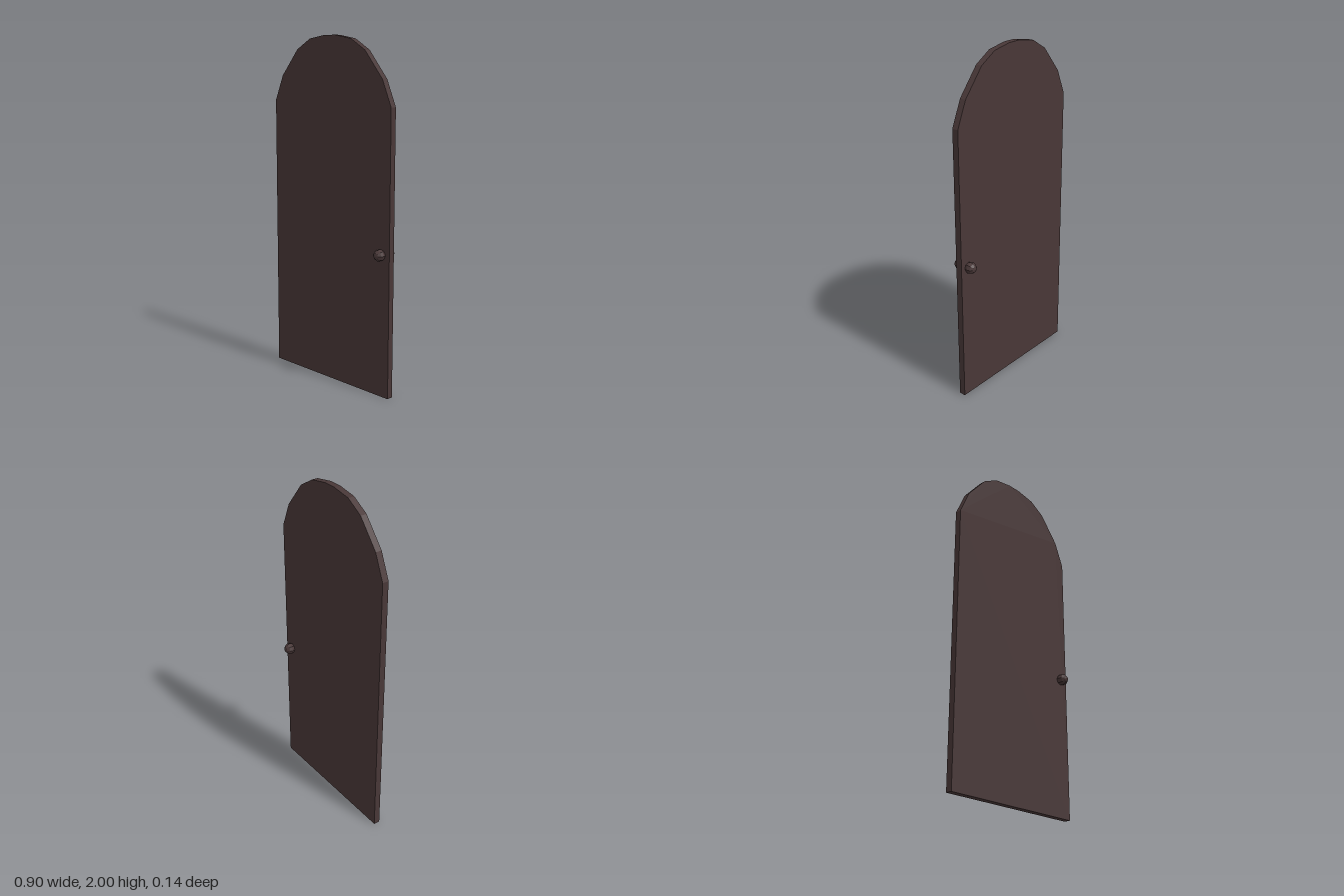
import * as THREE from 'three';

export function createModel() {
  const door = new THREE.Group();
  door.name = 'archedDoor';
  const darkWood = new THREE.MeshStandardMaterial({ color: 0x483737, flatShading: true });
  darkWood.name = 'darkWood';

  // Slab: straight sides with a faceted arch on top
  const rightHalf = [[0.45, 0], [0.447, 1.625], [0.385, 1.77], [0.26, 1.92], [0.158, 1.98], [0.04, 2]];
  const leftHalf = rightHalf.map(([x, y]) => [-x, y]).reverse();
  const outline = new THREE.Shape([...rightHalf, ...leftHalf].map(([x, y]) => new THREE.Vector2(x, y)));
  const slabGeometry = new THREE.ExtrudeGeometry(outline, { depth: 0.038, bevelEnabled: false });
  slabGeometry.translate(0, 0, -0.022);
  const slab = new THREE.Mesh(slabGeometry, darkWood);
  slab.name = 'doorSlab';
  door.add(slab);

  // Faceted knobs on both faces, poles pointing out of the door
  const knobGeometry = new THREE.SphereGeometry(0.034, 8, 6).rotateX(Math.PI / 2);
  for (const [name, z] of [['frontKnob', 0.036], ['backKnob', -0.04]]) {
    const knob = new THREE.Mesh(knobGeometry, darkWood);
    knob.name = name;
    knob.position.set(0.394, 0.825, z);
    door.add(knob);
  }
  return door;
}
